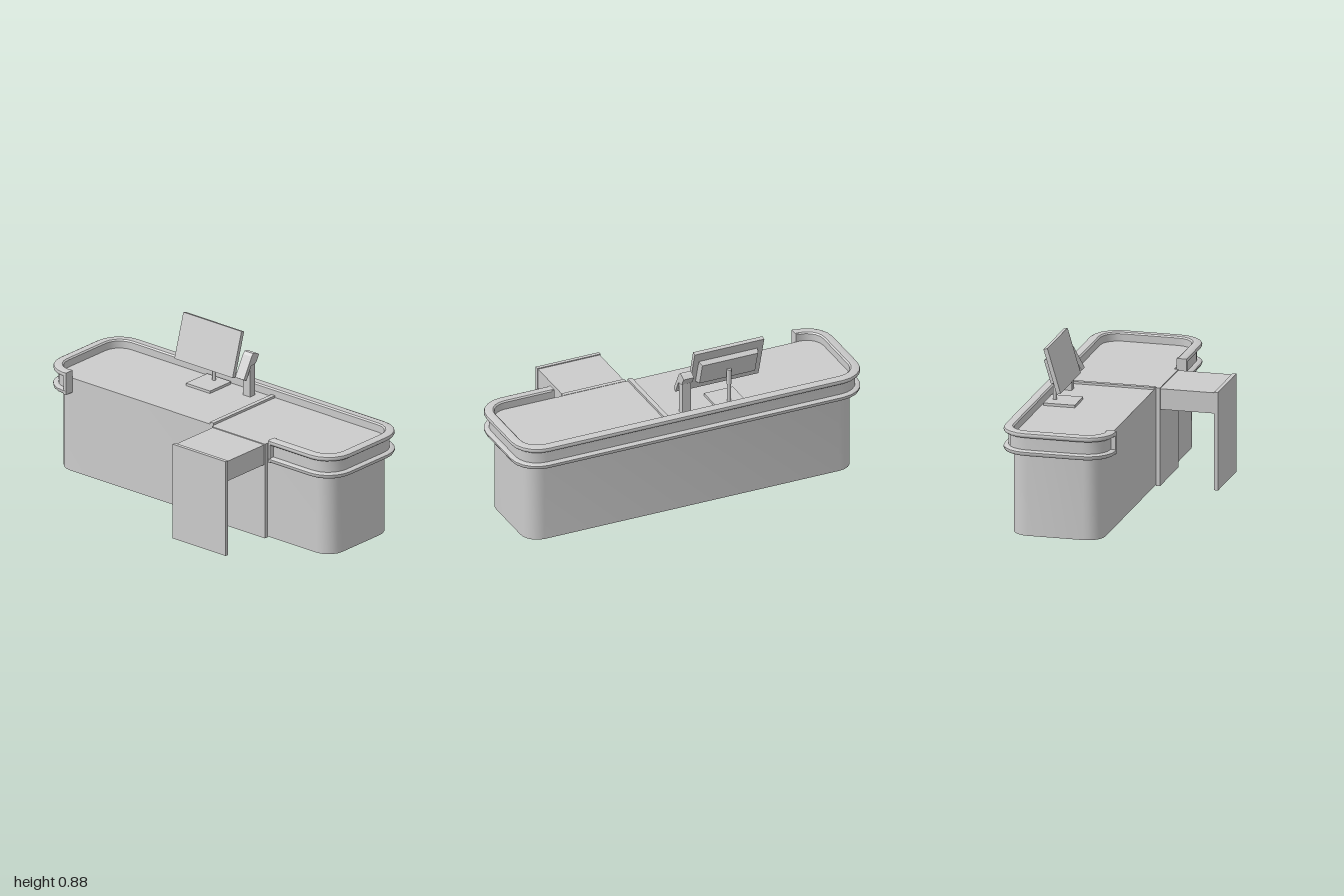
import * as THREE from 'three';
import { toCreasedNormals } from 'three/addons/utils/BufferGeometryUtils.js';

const grey = new THREE.MeshStandardMaterial({ color: 0xcccccc });
const greyOpen = new THREE.MeshStandardMaterial({ color: 0xcccccc, side: THREE.DoubleSide });

// Counter footprint
const X0 = -0.105, X1 = 0.385, Z = 0.943, R = 0.095, FLOOR = 0.53;

function add(parent, name, geometry, material = grey) {
  const mesh = new THREE.Mesh(geometry, material);
  mesh.name = name;
  parent.add(mesh);
  return mesh;
}

// Box given by its extents
function box(parent, name, [x0, x1], [y0, y1], [z0, z1]) {
  const mesh = add(parent, name, new THREE.BoxGeometry(x1 - x0, y1 - y0, z1 - z0));
  mesh.position.set((x0 + x1) / 2, (y0 + y1) / 2, (z0 + z1) / 2);
  return mesh;
}

// Points and outward normals round the four corners, starting on the -x side
function footprint(segments = 5) {
  const path = [];
  const centres = [[X0 + R, -Z + R], [X1 - R, -Z + R], [X1 - R, Z - R], [X0 + R, Z - R]];
  centres.forEach(([cx, cz], k) => {
    for (let i = 0; i <= segments; i++) {
      const a = Math.PI + (k + i / segments) * Math.PI / 2;
      const nx = Math.cos(a), nz = Math.sin(a);
      path.push({ x: cx + R * nx, z: cz + R * nz, nx, nz });
    }
  });
  return path;
}

// Sweep a profile of [outward offset, height] along a footprint path
function sweep(path, profile) {
  const pos = [], index = [], n = profile.length;
  for (const p of path)
    for (const [o, y] of profile) pos.push(p.x + p.nx * o, y, p.z + p.nz * o);
  for (let i = 0; i < path.length - 1; i++)
    for (let j = 0; j < n - 1; j++) {
      const a = i * n + j, b = a + n;
      index.push(a, b, a + 1, b, b + 1, a + 1);
    }
  const g = new THREE.BufferGeometry();
  g.setAttribute('position', new THREE.Float32BufferAttribute(pos, 3));
  g.setIndex(index);
  return toCreasedNormals(g, 0.7);
}

function buildCounter() {
  const counter = new THREE.Group();
  counter.name = 'counter';
  const path = footprint();

  // Shell, open at the bottom
  add(counter, 'counterShell', sweep([...path, path[0]], [[0, FLOOR], [0, 0.005]]), greyOpen);
  const top = new THREE.ShapeGeometry(new THREE.Shape(path.map(p => new THREE.Vector2(p.x, -p.z))));
  add(counter, 'counterTop', top.rotateX(-Math.PI / 2).translate(0, FLOOR, 0), greyOpen);
  box(counter, 'divider', [X0, X1], [FLOOR - 0.005, FLOOR + 0.012], [0.115, 0.14]);

  // Double bumper with a recessed band, open on the cashier side
  const ends = [-0.83, 0.56];
  const [start, stop] = ends.map(z => ({ x: X0, z, nx: -1, nz: 0 }));
  const profile = [
    [0, 0.45], [0, 0.57], [0.008, 0.577], [0.043, 0.577], [0.052, 0.573], [0.055, 0.564],
    [0.053, 0.555], [0.046, 0.549], [0.028, 0.549], [0.028, 0.479], [0.046, 0.479],
    [0.055, 0.473], [0.055, 0.464], [0.05, 0.454], [0.042, 0.45], [0, 0.45],
  ];
  add(counter, 'bumper', sweep([start, ...path, stop], profile), greyOpen);
  box(counter, 'backBumperEnd', [-0.159, X0], [0.452, 0.575], [ends[0] - 0.015, ends[0]]);
  box(counter, 'frontBumperEnd', [-0.159, X0], [0.452, 0.575], [ends[1], ends[1] + 0.015]);
  return counter;
}

function buildSideTable() {
  const table = new THREE.Group();
  table.name = 'sideTable';
  box(table, 'tableTop', [-0.42, X0], [0.415, 0.527], [0.152, 0.507]);
  box(table, 'outerPanel', [-0.441, -0.42], [0, 0.532], [0.148, 0.512]);
  box(table, 'innerPanel', [-0.128, X0], [0, 0.532], [0.148, 0.512]);
  return table;
}

function buildMonitor() {
  const monitor = new THREE.Group();
  monitor.name = 'monitor';
  const zc = -0.236;
  box(monitor, 'monitorBase', [0.205, 0.375], [FLOOR, FLOOR + 0.014], [zc - 0.083, zc + 0.083]);

  // Pole with a thicker sleeve
  const pole = (name, r, y0, y1) => {
    const m = add(monitor, name, new THREE.CylinderGeometry(r, r, y1 - y0, 16));
    m.position.set(0.335, (y0 + y1) / 2, zc);
  };
  pole('pole', 0.01, FLOOR, 0.66);
  pole('poleSleeve', 0.014, 0.65, 0.735);

  // Tilted screen facing the cashier, with a bevelled rear housing
  const head = new THREE.Group();
  head.name = 'screenHead';
  head.position.set(0.296, 0.753, zc);
  head.rotation.z = -0.29;
  box(head, 'screen', [-0.011, 0.011], [-0.125, 0.125], [-0.2, 0.2]);
  const housing = new THREE.BoxGeometry(0.03, 0.145, 0.34);
  const p = housing.attributes.position;
  for (let i = 0; i < p.count; i++)
    if (p.getX(i) > 0) p.setXYZ(i, p.getX(i), p.getY(i) * 0.88, p.getZ(i) * 0.94);
  housing.computeVertexNormals();
  add(head, 'rearHousing', housing).position.set(0.024, -0.004, 0);
  monitor.add(head);
  return monitor;
}

function buildScanner() {
  const scanner = new THREE.Group();
  scanner.name = 'scanner';
  box(scanner, 'scannerStand', [0.305, 0.345], [FLOOR, 0.715], [-0.012, 0.036]);

  // Bent head, side outline extruded across its width
  const outline = [
    [0.25, 0.645], [0.27, 0.633], [0.308, 0.707], [0.34, 0.71], [0.35, 0.717],
    [0.371, 0.754], [0.347, 0.769], [0.325, 0.771], [0.312, 0.757],
  ];
  const shape = new THREE.Shape(outline.map(([x, y]) => new THREE.Vector2(x, y)));
  const g = new THREE.ExtrudeGeometry(shape, { depth: 0.06, bevelEnabled: false });
  add(scanner, 'scannerHead', g.translate(0, 0, -0.018));
  return scanner;
}

export function createModel() {
  const model = new THREE.Group();
  model.name = 'checkoutCounter';
  model.add(buildCounter(), buildSideTable(), buildMonitor(), buildScanner());
  return model;
}
